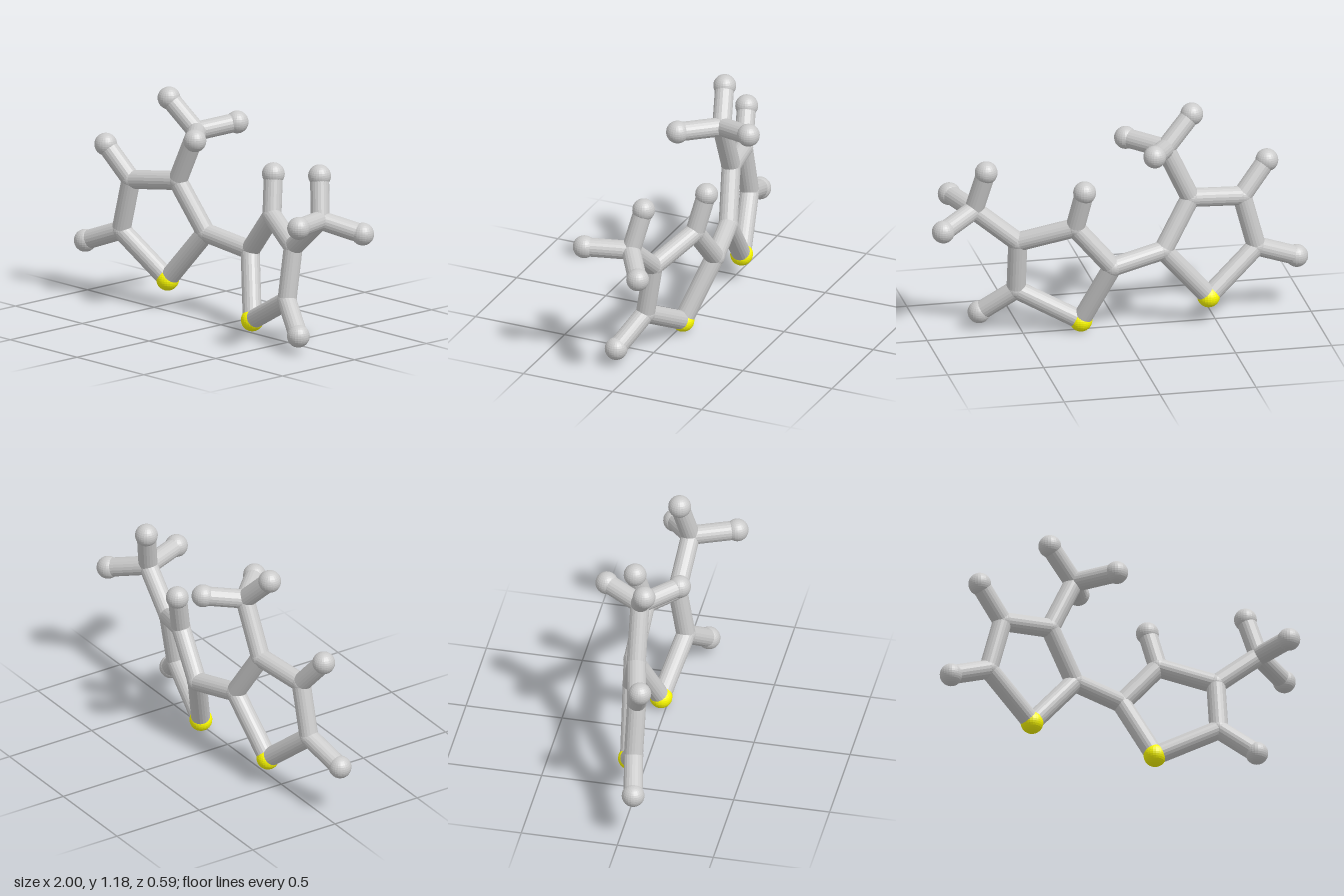
import * as THREE from 'three';

const BOND_RADIUS = 0.049;
const RADII = { carbon: 0.051, hydrogen: 0.0585, sulfur: 0.0585 };

// Atom centres, grouped by kind
const ATOMS = {
  sulfur: {
    S1: [-0.455, 0.147, -0.052], S2: [0.205, 0.0585, -0.028],
  },
  carbon: {
    // right-hand ring and its methyl
    A1: [-0.21, 0.43, -0.09], A2: [-0.363, 0.685, -0.036], A3: [-0.645, 0.65, 0.026],
    A4: [-0.72, 0.37, 0.025], A5: [-0.23, 0.967, -0.045],
    // left-hand ring and its methyl
    B1: [0.065, 0.38, -0.143], B2: [0.255, 0.6, -0.118], B3: [0.53, 0.505, -0.011],
    B4: [0.53, 0.23, 0.033], B5: [0.755, 0.69, 0.01],
  },
  hydrogen: {
    HA3: [-0.785, 0.817, 0.072], HA4: [-0.94, 0.283, 0.07],
    HA5a: [-0.38, 1.123, 0.008], HA5b: [-0.06, 0.977, 0.125], HA5c: [-0.135, 1.0, -0.238],
    HB2: [0.215, 0.805, -0.165], HB4: [0.705, 0.09, 0.116],
    HB5a: [0.7, 0.905, -0.036], HB5b: [0.835, 0.7, 0.235], HB5c: [0.94, 0.63, -0.113],
  },
};

const BONDS = {
  ringBond: ['S1 A1', 'A1 A2', 'A2 A3', 'A3 A4', 'A4 S1', 'S2 B1', 'B1 B2', 'B2 B3', 'B3 B4', 'B4 S2'],
  bridgeBond: ['A1 B1'],
  methylBond: ['A2 A5', 'B3 B5'],
  hydrogenBond: ['A3 HA3', 'A4 HA4', 'A5 HA5a', 'A5 HA5b', 'A5 HA5c',
    'B2 HB2', 'B4 HB4', 'B5 HB5a', 'B5 HB5b', 'B5 HB5c'],
};

export function createModel() {
  const model = new THREE.Group();
  model.name = 'ballAndStickMolecule';
  const grey = new THREE.MeshStandardMaterial({ color: 0xcccccc, flatShading: true });
  const yellow = new THREE.MeshStandardMaterial({ color: 0xffff00, flatShading: true });
  const centres = {};

  // Balls
  for (const [kind, atoms] of Object.entries(ATOMS)) {
    const geometry = new THREE.SphereGeometry(RADII[kind], 24, 16);
    for (const [id, position] of Object.entries(atoms)) {
      centres[id] = new THREE.Vector3(...position);
      const ball = new THREE.Mesh(geometry, kind === 'sulfur' ? yellow : grey);
      ball.name = `${kind}Atom`;
      ball.position.copy(centres[id]);
      model.add(ball);
    }
  }

  // Sticks, each running from one atom centre to the next
  const up = new THREE.Vector3(0, 1, 0);
  for (const [name, pairs] of Object.entries(BONDS)) {
    for (const pair of pairs) {
      const [a, b] = pair.split(' ').map((id) => centres[id]);
      const along = b.clone().sub(a);
      const stick = new THREE.Mesh(
        new THREE.CylinderGeometry(BOND_RADIUS, BOND_RADIUS, along.length(), 20), grey);
      stick.name = name;
      stick.position.copy(a).lerp(b, 0.5);
      stick.quaternion.setFromUnitVectors(up, along.normalize());
      model.add(stick);
    }
  }
  return model;
}
